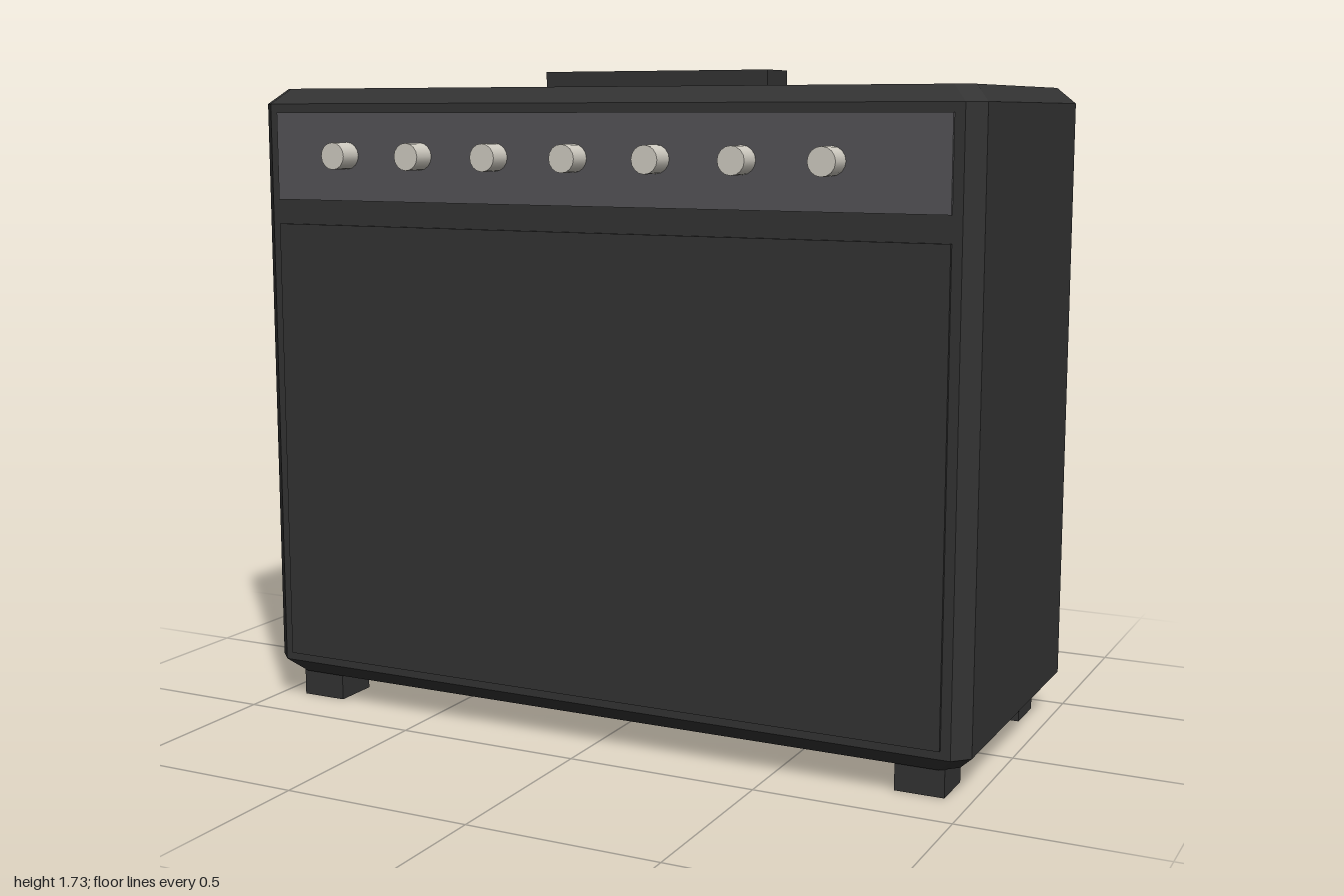
import * as THREE from 'three';
import { ConvexGeometry } from 'three/addons/geometries/ConvexGeometry.js';

const material = (name, color) => {
  const m = new THREE.MeshStandardMaterial({ color });
  m.name = name;
  return m;
};

export function createModel() {
  const black = material('black covering', 0x333333);
  const grey = material('grey panel', 0x555457);
  const ivory = material('ivory knobs', 0xd0ccc2);
  const model = new THREE.Group();
  model.name = 'amplifier';

  const add = (name, geometry, mat, x, y, z) => {
    const mesh = new THREE.Mesh(geometry, mat);
    mesh.name = name;
    mesh.position.set(x, y, z);
    model.add(mesh);
    return mesh;
  };
  const box = (name, mat, w, h, d, x, y, z) =>
    add(name, new THREE.BoxGeometry(w, h, d), mat, x, y, z);

  // Cabinet: stacked eight-sided outlines give chamfers on every edge
  const cut = 0.04, points = [];
  const outline = (y, hx, hz) => {
    for (const sx of [-1, 1]) for (const sz of [-1, 1]) {
      points.push(new THREE.Vector3(sx * hx, y, sz * (hz - cut)));
      points.push(new THREE.Vector3(sx * (hx - cut), y, sz * hz));
    }
  };
  for (const s of [-1, 1]) {
    outline(s * 0.765, 1, 0.435);
    outline(s * 0.805, 0.96, 0.395);
  }
  add('cabinet', new ConvexGeometry(points), black, 0, 0.875, -0.037);

  // Front plates
  box('grille', black, 1.87, 1.19, 0.009, 0, 0.727, 0.4015);
  box('controlPanel', grey, 1.87, 0.23, 0.009, 0, 1.502, 0.4015);

  // Row of control knobs
  const knob = new THREE.CylinderGeometry(0.035, 0.035, 0.07, 16);
  knob.rotateX(Math.PI / 2);
  for (let i = 0; i < 7; i++) add('knob', knob, ivory, -0.71 + i * 0.226, 1.505, 0.437);

  // Handle on top
  box('handle', black, 0.645, 0.045, 0.13, 0, 1.7025, -0.037);

  // Four feet
  for (const x of [-0.87, 0.87]) for (const z of [0.289, -0.356])
    box('foot', black, 0.126, 0.07, 0.126, x, 0.035, z);

  return model;
}
